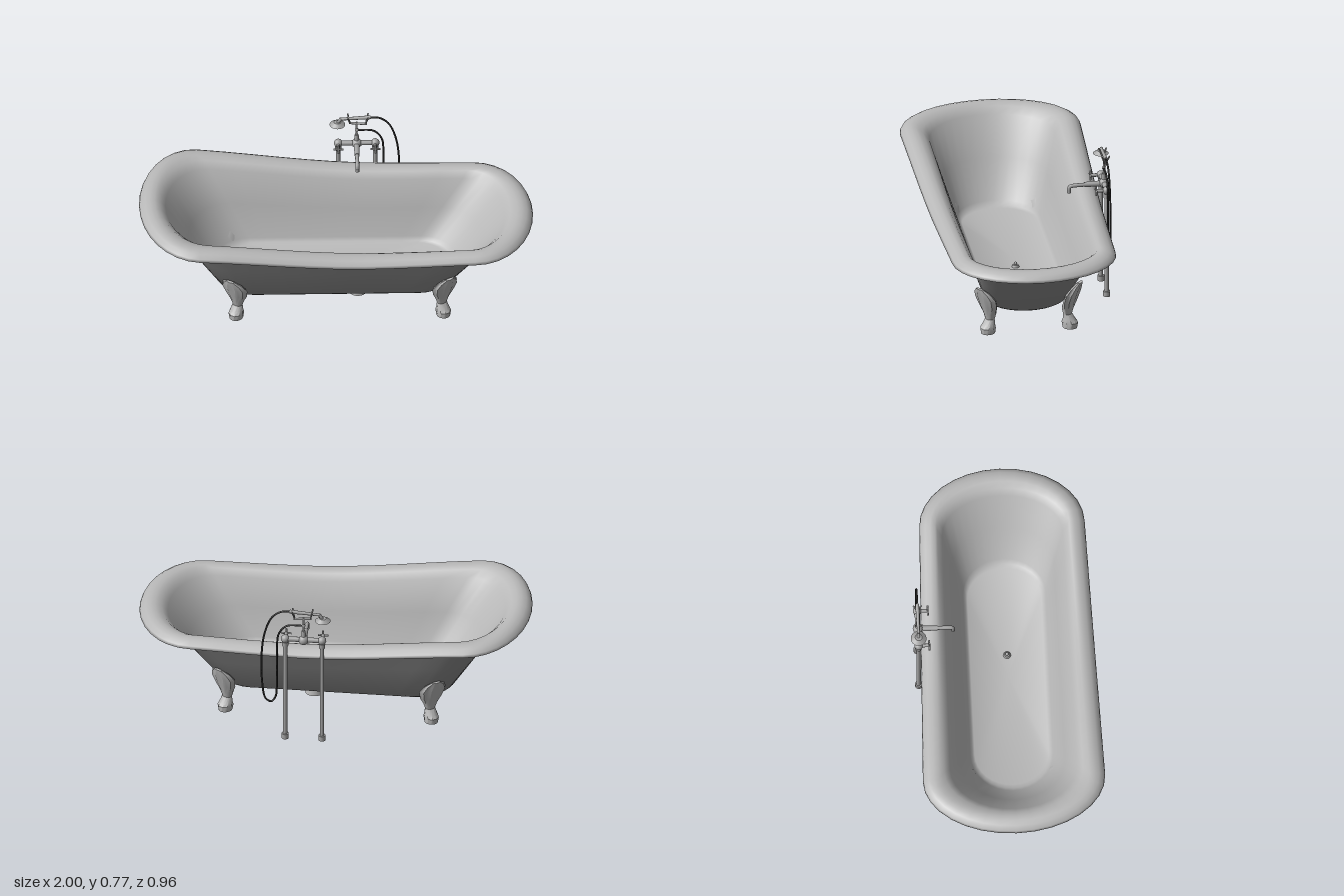
import * as THREE from 'three';
import { toCreasedNormals } from 'three/addons/utils/BufferGeometryUtils.js';

const V = (x, y, z) => new THREE.Vector3(x, y, z);
const { lerp, smoothstep } = THREE.MathUtils;
const material = (name, color) => {
  const m = new THREE.MeshStandardMaterial({ color });
  m.name = name;
  return m;
};

// Skin a stack of closed rings (points running from +x towards +z), optionally capped
function loft(rings, capStart, capEnd, crease) {
  const n = rings[0].length, pos = [], index = [];
  rings.forEach(r => r.forEach(p => pos.push(p.x, p.y, p.z)));
  for (let i = 0; i < rings.length - 1; i++) {
    for (let j = 0; j < n; j++) {
      const a = i * n + j, b = i * n + (j + 1) % n;
      index.push(a, a + n, b, b, a + n, b + n);
    }
  }
  const cap = (ring, first, flip) => {
    const c = ring.reduce((s, p) => s.add(p), V(0, 0, 0)).divideScalar(n);
    const k = pos.length / 3;
    pos.push(c.x, c.y, c.z);
    for (let j = 0; j < n; j++) {
      const a = first + j, b = first + (j + 1) % n;
      index.push(k, flip ? b : a, flip ? a : b);
    }
  };
  if (capStart) cap(rings[0], 0, false);
  if (capEnd) cap(rings[rings.length - 1], (rings.length - 1) * n, true);
  const g = new THREE.BufferGeometry();
  g.setAttribute('position', new THREE.Float32BufferAttribute(pos, 3));
  g.setIndex(index);
  return toCreasedNormals(g, crease);
}

// Height of the rim, rising towards the backrest end
const rimY = x => 0.506 + 0.087 * smoothstep(-x, -0.2, 0.95) + 0.006 * smoothstep(x, 0.3, 0.75);

// Plan outline: end extents, arc centres and half widths at each end
function ringOf(xL, xR, cL, cR, hL, hR, height) {
  const pts = [], arc = 16, side = 10;
  const add = (x, z) => pts.push(V(x, height(x), z));
  for (let i = 0; i <= arc; i++) {
    const a = -Math.PI / 2 + Math.PI * i / arc;
    add(cR + (xR - cR) * Math.cos(a), hR * Math.sin(a));
  }
  for (let i = 1; i < side; i++) add(lerp(cR, cL, i / side), lerp(hR, hL, i / side));
  for (let i = 0; i <= arc; i++) {
    const a = Math.PI / 2 + Math.PI * i / arc;
    add(cL + (cL - xL) * Math.cos(a), hL * Math.sin(a));
  }
  for (let i = 1; i < side; i++) add(lerp(cL, cR, i / side), -lerp(hL, hR, i / side));
  return pts;
}
const mix = (r, s, t, drop = 0) => r.map((p, i) => p.clone().lerp(s[i], t).add(V(0, -drop, 0)));

export function createModel() {
  const root = new THREE.Group();
  root.name = 'bathtub';
  const enamel = material('light enamel', 0xb8b8b8);
  const shellPaint = material('outer shell grey', 0x8c8c8c);
  const metal = material('fixture metal', 0xa4a4a4);
  const rubber = material('dark hose', 0x2a2a2a);

  const add = (parent, name, geometry, mat, x = 0, y = 0, z = 0) => {
    const m = new THREE.Mesh(geometry, mat);
    m.name = name;
    m.position.set(x, y, z);
    parent.add(m);
    return m;
  };
  // Round metal bar between two points
  const bar = (parent, name, a, b, r1, r2 = r1, sides = 14) => {
    const d = b.clone().sub(a), mid = a.clone().add(b).multiplyScalar(0.5);
    const m = add(parent, name, new THREE.CylinderGeometry(r2, r1, d.length(), sides), metal, mid.x, mid.y, mid.z);
    m.quaternion.setFromUnitVectors(V(0, 1, 0), d.normalize());
  };

  // Tub: outer shell, then rolled rim and basin
  const tub = new THREE.Group();
  tub.name = 'tub';
  tub.position.z = 0.015;
  root.add(tub);

  const base = ringOf(-0.6, 0.59, -0.42, 0.42, 0.2, 0.2, () => 0.13);
  const foot = ringOf(-0.62, 0.61, -0.43, 0.43, 0.212, 0.212, () => 0.142);
  const neck = ringOf(-0.885, 0.875, -0.64, 0.66, 0.335, 0.32, x => rimY(x) - 0.036);
  add(tub, 'outerShell', loft([base, foot, mix(foot, neck, 0.5), neck], true, false, 0.7), shellPaint);

  const rim = (grow, drop) => ringOf(-1 + grow, 1 - grow, -0.7, 0.7, 0.463 - grow, 0.42 - grow, x => rimY(x) - drop);
  const edge = ringOf(-0.895, 0.885, -0.66, 0.67, 0.352, 0.33, x => rimY(x) - 0.01);
  const throat = ringOf(-0.866, 0.856, -0.635, 0.65, 0.322, 0.306, x => rimY(x) - 0.042);
  const floorEdge = ringOf(-0.632, 0.622, -0.435, 0.435, 0.21, 0.21, () => 0.178);
  const floor = ringOf(-0.59, 0.58, -0.42, 0.42, 0.188, 0.188, () => 0.152);
  add(tub, 'rimAndBasin', loft([neck, rim(0.014, 0.043), rim(0, 0.038), rim(0.006, 0.024), rim(0.03, 0.008),
    rim(0.055, 0), rim(0.08, 0.001), edge, throat, mix(throat, floorEdge, 0.5), floorEdge,
    mix(floorEdge, floor, 0.5, 0.006), floor], false, true, 2.5), enamel);

  // Claw feet: height, outward offset, half width, half depth, scallop depth
  const sections = [
    [0, 0, 0.034, 0.038, 0], [0.03, 0, 0.037, 0.041, 0.05], [0.046, -0.004, 0.033, 0.031, 0.03],
    [0.075, -0.013, 0.026, 0.022, 0], [0.11, -0.011, 0.038, 0.029, 0.02], [0.15, -0.004, 0.058, 0.036, 0.05],
    [0.2, 0.014, 0.07, 0.034, 0.07], [0.235, 0.034, 0.054, 0.026, 0.07], [0.262, 0.056, 0.022, 0.011, 0.03],
  ];
  const footGeometry = loft(sections.map(([y, z, w, d, s]) => Array.from({ length: 30 }, (_, i) => {
    const a = i / 30 * Math.PI * 2, k = 1 + s * Math.cos(a * 10);
    const back = Math.sin(a) < 0 && y > 0.13 ? 0.55 : 1; // flattened against the shell
    return V(w * k * Math.cos(a), y, z + d * k * back * Math.sin(a));
  })), true, true, 0.6);
  for (const x of [-0.51, 0.54]) {
    for (const side of [1, -1]) {
      const m = add(tub, 'clawFoot', footGeometry, enamel, x, 0, side * 0.21);
      m.rotation.y = (side > 0 ? 0 : Math.PI) + side * Math.sign(x) * 0.58;
    }
  }

  // Drain below the tub and plug inside it
  add(root, 'drainBase', new THREE.CylinderGeometry(0.037, 0.047, 0.05, 20), enamel, 0.11, 0.025, 0.02);
  add(root, 'drainPipe', new THREE.CylinderGeometry(0.024, 0.024, 0.09, 18), enamel, 0.11, 0.09, 0.02);
  add(root, 'drainRing', new THREE.CylinderGeometry(0.026, 0.026, 0.012, 18), metal, 0.11, 0.118, 0.02);
  add(root, 'drainPlug', new THREE.CylinderGeometry(0.014, 0.02, 0.012, 16), metal, 0.11, 0.157, 0.015);
  add(root, 'plugKnob', new THREE.SphereGeometry(0.009, 10, 8), metal, 0.11, 0.17, 0.015);

  // Standpipes, elbows and cross-handled taps
  const tap = new THREE.Group();
  tap.name = 'standingTap';
  tap.position.z = -0.438;
  root.add(tap);
  for (const x of [0.02, 0.208]) {
    bar(tap, 'standpipe', V(x, 0, 0), V(x, 0.59, 0), 0.011);
    bar(tap, 'pipeCollar', V(x, 0, 0), V(x, 0.028, 0), 0.018);
    bar(tap, 'pipeNut', V(x, 0.55, 0), V(x, 0.575, 0), 0.016);
    add(tap, 'elbow', new THREE.SphereGeometry(0.022, 14, 10), metal, x, 0.592, 0);
    bar(tap, 'valveStem', V(x, 0.592, 0), V(x, 0.592, 0.055), 0.009);
    for (const [dx, dy] of [[0.026, 0], [0, 0.026]]) {
      bar(tap, 'crossHandle', V(x - dx, 0.592 - dy, 0.054), V(x + dx, 0.592 + dy, 0.054), 0.005);
    }
  }
  bar(tap, 'mixerBody', V(0.01, 0.592, 0), V(0.218, 0.592, 0), 0.013);
  add(tap, 'mixerHub', new THREE.SphereGeometry(0.026, 16, 12), metal, 0.114, 0.59, 0);
  bar(tap, 'spoutCollar', V(0.114, 0.588, 0), V(0.114, 0.588, 0.1), 0.015, 0.013);
  const spout = new THREE.CatmullRomCurve3([V(0.114, 0.588, 0.06), V(0.114, 0.587, 0.11), V(0.114, 0.585, 0.16),
    V(0.114, 0.581, 0.174), V(0.114, 0.568, 0.179), V(0.114, 0.55, 0.179)]);
  add(tap, 'spout', new THREE.TubeGeometry(spout, 24, 0.01, 12), metal);
  bar(tap, 'spoutTip', V(0.114, 0.565, 0.179), V(0.114, 0.548, 0.179), 0.011);

  // Riser and forked cradle
  bar(tap, 'riser', V(0.114, 0.6, 0), V(0.114, 0.645, 0), 0.013, 0.01);
  bar(tap, 'riserNeck', V(0.114, 0.64, 0), V(0.114, 0.725, 0), 0.005);
  add(tap, 'riserKnob', new THREE.SphereGeometry(0.01, 12, 8), metal, 0.114, 0.675, 0);
  bar(tap, 'cradleBar', V(0.075, 0.72, 0), V(0.165, 0.712, 0), 0.006);
  for (const x of [0.08, 0.16]) {
    for (const s of [1, -1]) bar(tap, 'cradleFork', V(x, 0.716, 0), V(x + (x > 0.1 ? 0.012 : -0.012), 0.765, s * 0.02), 0.004);
  }

  // Hand shower
  bar(tap, 'showerHandle', V(0.03, 0.745, 0), V(0.185, 0.755, 0), 0.007, 0.01);
  bar(tap, 'showerNeck', V(0.034, 0.748, 0), V(0.018, 0.722, 0), 0.008);
  bar(tap, 'showerHead', V(0.016, 0.711, 0), V(0.016, 0.727, 0), 0.04, 0.018, 20);

  // Hose looping down beside the pipes and back to the riser
  const hose = new THREE.CatmullRomCurve3([V(0.18, 0.755, 0), V(0.23, 0.75, 0), V(0.275, 0.715, 0), V(0.31, 0.63, 0),
    V(0.328, 0.5, 0), V(0.325, 0.32, 0), V(0.308, 0.23, 0), V(0.28, 0.213, 0), V(0.258, 0.24, 0), V(0.25, 0.35, 0),
    V(0.25, 0.53, 0), V(0.24, 0.62, 0), V(0.2, 0.668, 0), V(0.114, 0.675, 0)]);
  add(tap, 'hose', new THREE.TubeGeometry(hose, 90, 0.005, 8), rubber);

  return root;
}
